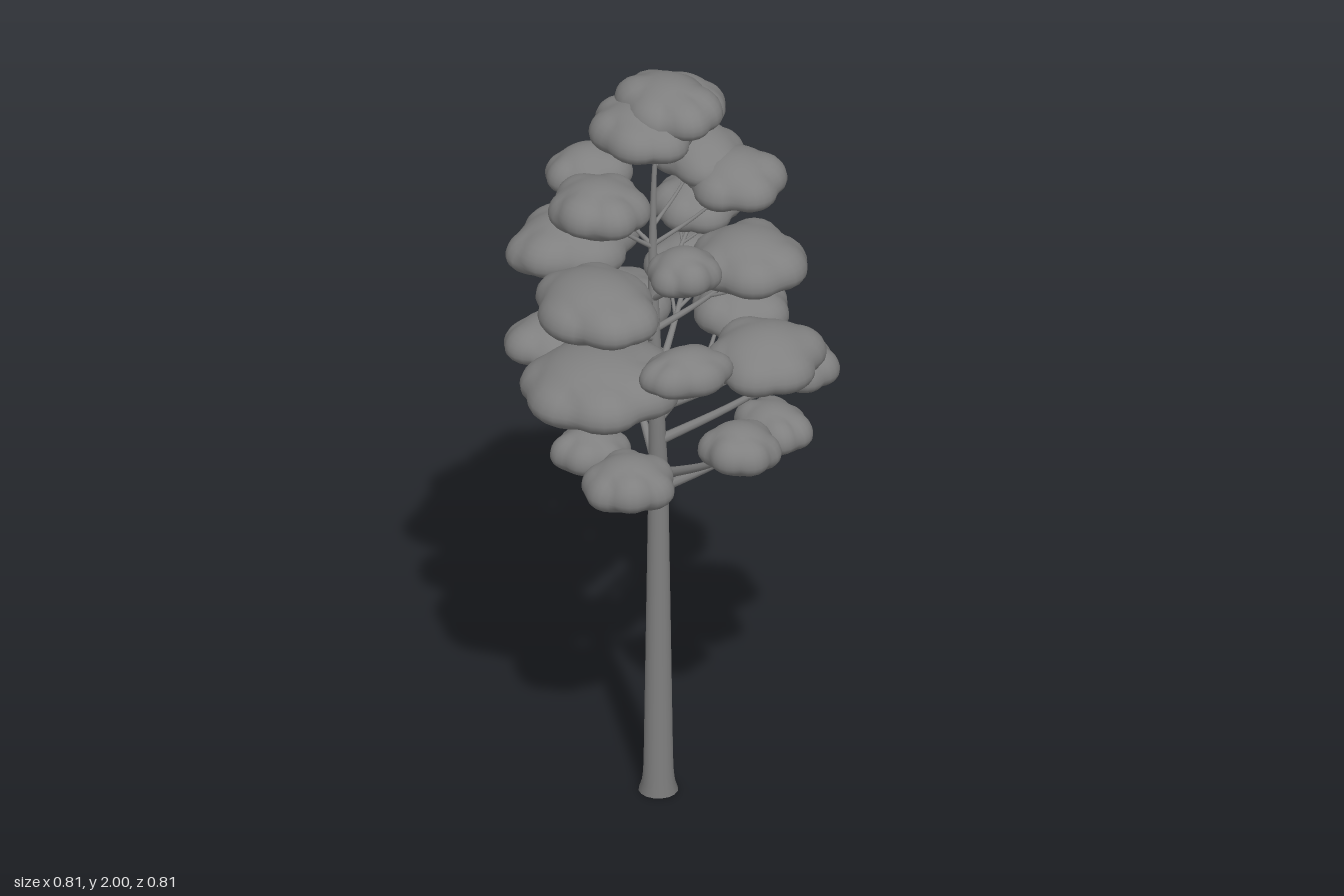
import * as THREE from 'three';
import { mergeVertices } from 'three/addons/utils/BufferGeometryUtils.js';

const grey = new THREE.MeshStandardMaterial({ color: 0x808080 });
grey.name = 'grey';

// small seeded generator for the foliage variation
function seeded(seed) {
  let s = seed * 7919 + 17;
  return () => {
    s = (s * 16807) % 2147483647;
    return s / 2147483647;
  };
}

function addMesh(parent, geometry, name) {
  const mesh = new THREE.Mesh(geometry, grey);
  mesh.name = name;
  parent.add(mesh);
}

// tube along a smooth path whose radius follows radiusAt(t)
function taperedTube(curve, radiusAt, segments, sides) {
  const geo = new THREE.TubeGeometry(curve, segments, 1, sides, false);
  const pos = geo.attributes.position;
  const v = new THREE.Vector3();
  for (let i = 0; i <= segments; i++) {
    const c = curve.getPointAt(i / segments);
    const r = radiusAt(i / segments);
    for (let j = 0; j <= sides; j++) {
      const k = i * (sides + 1) + j;
      v.fromBufferAttribute(pos, k).sub(c).multiplyScalar(r).add(c);
      pos.setXYZ(k, v.x, v.y, v.z);
    }
  }
  return geo;
}

// foliage pads by tier: centre x, y, z, half width in x, half depth in z
const CROWN = [
  [-0.05, 1.885, 0, 0.12, 0.14],
  [0.03, 1.93, 0, 0.12, 0.15],
  [0.1, 1.895, -0.05, 0.1, 0.12],
];
const UPPER_TIER = [
  [-0.17, 1.7, 0, 0.12, 0.13],
  [-0.1, 1.71, -0.16, 0.11, 0.1],
  [0.14, 1.75, -0.04, 0.11, 0.14],
  [0.18, 1.715, 0.07, 0.12, 0.13],
];
const MIDDLE_TIER = [
  [-0.215, 1.465, 0.06, 0.145, 0.18],
  [-0.13, 1.5, -0.19, 0.17, 0.14],
  [-0.03, 1.56, 0.17, 0.09, 0.09],
  [0.2, 1.49, 0.1, 0.14, 0.15],
  [0.18, 1.56, -0.11, 0.11, 0.11],
];
const BROAD_TIER = [
  [-0.21, 1.25, 0.07, 0.19, 0.2],
  [-0.08, 1.335, 0.26, 0.12, 0.09],
  [0.01, 1.25, -0.25, 0.15, 0.15],
  [-0.18, 1.24, -0.19, 0.13, 0.11],
  [0.18, 1.28, 0.21, 0.15, 0.14],
  [0.29, 1.21, 0.18, 0.1, 0.11],
  [0.28, 1.25, -0.07, 0.12, 0.13],
  [0.2, 1.35, -0.18, 0.11, 0.11],
];
const LOW_TIER = [
  [-0.17, 0.99, 0.14, 0.115, 0.11],
  [-0.14, 0.96, -0.09, 0.1, 0.09],
  [0.05, 1.1, 0.3, 0.1, 0.1],
  [0.22, 1.05, 0.18, 0.09, 0.11],
  [0.05, 1.08, -0.21, 0.1, 0.11],
];

// distance from the pad centre along d to the far side of a lobe
function lobeReach(d, { centre, size }) {
  const dir = d.clone().divide(size), c = centre.clone().divide(size);
  const dd = dir.lengthSq(), dc = dir.dot(c);
  const disc = dc * dc - dd * (c.lengthSq() - 1);
  return disc < 0 ? 0 : (dc + Math.sqrt(disc)) / dd;
}

// one skin wrapped round a wide core and a ring of lobes, flatter underneath
function foliagePad([x, y, z, a, b], index) {
  const rand = seeded(index + 1);
  const h = Math.min(0.095, 0.034 + 0.37 * Math.min(a, b));
  const lobes = [{ centre: new THREE.Vector3(), size: new THREE.Vector3(0.88, 1, 0.88) }];
  const start = rand() * Math.PI * 2;
  for (let i = 0; i < 6; i++) {
    const t = start + (i / 6) * Math.PI * 2 + (rand() - 0.5) * 0.4;
    const s = 0.5 + rand() * 0.1;
    const reach = 1.04 - s;
    lobes.push({
      centre: new THREE.Vector3(Math.cos(t) * reach, (rand() - 0.5) * 0.25, Math.sin(t) * reach),
      size: new THREE.Vector3(s, 0.75, s),
    });
  }
  const sphere = new THREE.SphereGeometry(1, 36, 20);
  sphere.deleteAttribute('uv');
  sphere.deleteAttribute('normal');
  const geo = mergeVertices(sphere);
  const pos = geo.attributes.position;
  const d = new THREE.Vector3();
  for (let i = 0; i < pos.count; i++) {
    d.fromBufferAttribute(pos, i).normalize();
    const r = Math.max(...lobes.map((l) => lobeReach(d, l)));
    const up = d.y * r * (d.y < 0 ? 0.75 : 1) - 0.1;
    pos.setXYZ(i, x + d.x * r * a, y + up * h, z + d.z * r * b);
  }
  geo.computeVertexNormals();
  return geo;
}

// trunk centre line bends a little above the lowest branches
function trunkPoint(y) {
  const k = Math.max(0, y - 0.9);
  return new THREE.Vector3(-0.018 * Math.sin(k * 3.3), y, 0.01 * Math.sin(k * 5));
}

function trunkRadius(y) {
  const flare = 0.011 * Math.exp(-y * 45);
  return y < 0.85 ? 0.038 - 0.015 * y + flare : Math.max(0.005, 0.025 - 0.021 * (y - 0.85));
}

// path that sags a little between its ends
function saggingPath(from, to, sag) {
  const mid = from.clone().lerp(to, 0.5);
  mid.y -= sag;
  return new THREE.CatmullRomCurve3([from, mid, to]);
}

// a limb from the trunk to the pad, with twigs fanning out into it
function makeBranch([x, y, z, a, b], index) {
  const branch = new THREE.Group();
  branch.name = 'branch';
  const rand = seeded(index + 50);
  const startY = y - 0.1 - 0.35 * Math.hypot(x, z);
  const start = trunkPoint(startY);
  const end = new THREE.Vector3(x, y - 0.02, z);
  const r0 = Math.min(0.014, trunkRadius(startY) * 0.6);
  const path = saggingPath(start, end, 0.008);
  addMesh(branch, taperedTube(path, (t) => r0 * (1 - 0.6 * t), 10, 8), 'limb');
  const across = new THREE.Vector3(start.z - z, 0, x - start.x).normalize();
  for (const side of [-1, 1]) {
    const from = path.getPointAt(0.55 + rand() * 0.12);
    const tip = end.clone().addScaledVector(across, side * Math.min(a, b) * 0.5);
    addMesh(branch, taperedTube(saggingPath(from, tip, 0.008), (t) => r0 * (0.5 - 0.25 * t), 6, 6), 'twig');
  }
  return branch;
}

export function createModel() {
  const tree = new THREE.Group();
  tree.name = 'tree';

  // trunk with flared foot
  const height = 1.88;
  const points = Array.from({ length: 20 }, (_, i) => trunkPoint((i / 19) * height));
  const line = new THREE.CatmullRomCurve3(points);
  addMesh(tree, taperedTube(line, (t) => trunkRadius(t * height), 80, 16), 'trunk');
  addMesh(tree, new THREE.CircleGeometry(trunkRadius(0), 16).rotateX(Math.PI / 2), 'trunkBase');

  [CROWN, UPPER_TIER, MIDDLE_TIER, BROAD_TIER, LOW_TIER].flat().forEach((pad, i) => {
    addMesh(tree, foliagePad(pad, i), 'foliagePad');
    tree.add(makeBranch(pad, i));
  });
  return tree;
}
